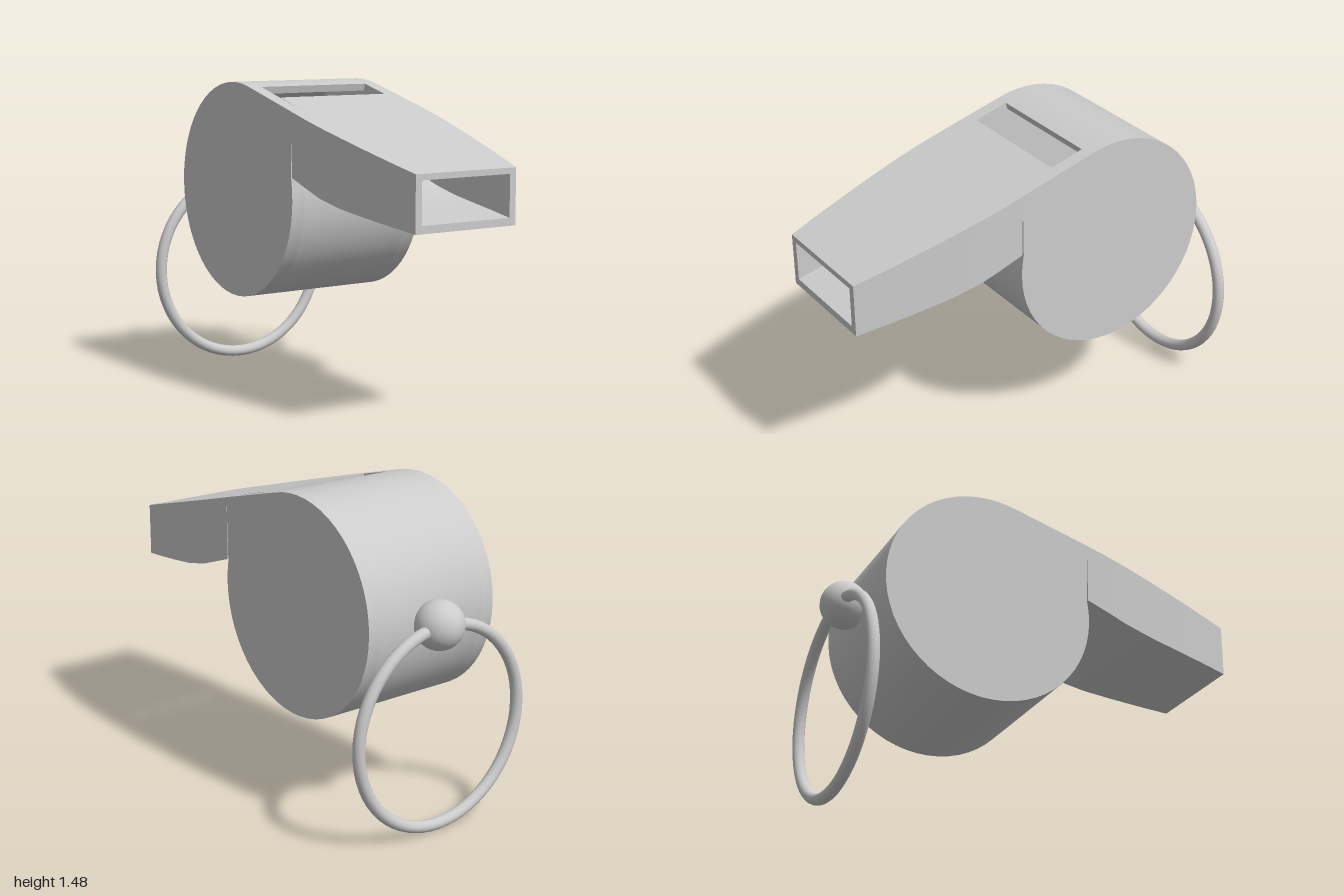
import * as THREE from 'three';
import { toCreasedNormals } from 'three/addons/utils/BufferGeometryUtils.js';

const CX = -0.01, HALF = 0.36, WALL = 0.065;      // body centre, half width, cheek thickness
const CY = 0.963, CZ = -0.32, R = 0.513;          // round chamber
const A0 = THREE.MathUtils.degToRad(74), A1 = THREE.MathUtils.degToRad(371);
const JOIN = 0.19, LIP = -0.01;                   // end of mouthpiece, front edge of slot
const topY = z => 1.145 + (1 - z) * 0.267;        // sloping upper face

const material = new THREE.MeshStandardMaterial({ color: 0xcccccc, side: THREE.DoubleSide });

function part(name, geometry) {
  const mesh = new THREE.Mesh(geometry, material);
  mesh.name = name;
  return mesh;
}

// Points on an arc in the (z, y) side plane
function arc(r, from, to, n = 48) {
  return Array.from({ length: n + 1 }, (_, i) => {
    const a = from + (to - from) * i / n;
    return new THREE.Vector2(CZ + r * Math.cos(a), CY + r * Math.sin(a));
  });
}

// Extrude a (z, y) side profile across x
function across(points, x0, x1) {
  const g = new THREE.ExtrudeGeometry(new THREE.Shape(points), { depth: x1 - x0, bevelEnabled: false });
  g.rotateY(-Math.PI / 2).translate(x1, 0, 0);
  return toCreasedNormals(g, 0.5);
}

// Hollow tapered mouthpiece: outer rings to the front, then inner rings back
function mouthpieceGeometry() {
  // z, half width, underside
  const stations = [
    [JOIN, 0.36, 1.065], [0.3, 0.358, 1.027], [0.4, 0.352, 0.992], [0.55, 0.337, 0.958],
    [0.7, 0.317, 0.935], [0.85, 0.295, 0.914], [1, 0.268, 0.893],
  ];
  const ring = (z, w, bottom, top) => [[w, bottom, z], [w, top, z], [-w, top, z], [-w, bottom, z]];
  const outer = stations.map(([z, w, b]) => ring(z, w, b, topY(z)));
  const inner = stations.map(([z, w, b]) => {
    const t = (1 - z) / (1 - JOIN);
    return ring(z, w - 0.033 - 0.032 * t, b + 0.035 - 0.02 * t, topY(z) - 0.027);
  }).reverse();
  const rings = [...outer, ...inner];
  const position = rings.flat().flatMap(([x, y, z]) => [x + CX, y, z]);
  const index = [];
  rings.forEach((_, i) => {
    const a = i * 4, b = ((i + 1) % rings.length) * 4;
    for (let j = 0; j < 4; j++) {
      const k = (j + 1) % 4;
      index.push(a + j, a + k, b + j, a + k, b + k, b + j);
    }
  });
  const g = new THREE.BufferGeometry();
  g.setAttribute('position', new THREE.Float32BufferAttribute(position, 3));
  g.setIndex(index);
  return toCreasedNormals(g, 0.5);
}

export function createModel() {
  const group = new THREE.Group();
  group.name = 'whistle';
  const inside = HALF - WALL;

  // Round chamber wall, open towards the slot and the air channel
  const band = [...arc(R, A0, A1), ...arc(R - 0.035, A1, A0)];
  group.add(part('chamberWall', across(band, CX - inside, CX + inside)));

  // Flat cheeks closing both sides, running up to the sloping top
  const cheek = [...arc(R, A0, A1), new THREE.Vector2(JOIN, topY(JOIN))];
  group.add(part('leftCheek', across(cheek, CX + inside, CX + HALF)));
  group.add(part('rightCheek', across(cheek, CX - HALF, CX - inside)));

  // Roof between the mouthpiece and the slot
  const roof = [[JOIN, 0], [LIP, 0], [LIP, -0.02], [JOIN, -0.027]]
    .map(([z, d]) => new THREE.Vector2(z, topY(z) + d));
  group.add(part('channelRoof', across(roof, CX - inside, CX + inside)));

  group.add(part('mouthpiece', mouthpieceGeometry()));

  // Ball lug and hanging ring at the back
  const ball = part('ringLug', new THREE.SphereGeometry(0.113, 32, 20));
  ball.position.set(0, 0.957, -0.887);
  const ring = part('ring', new THREE.TorusGeometry(0.466, 0.028, 14, 64));
  ring.position.set(0, 0.494, -0.912);
  group.add(ball, ring);

  return group;
}
